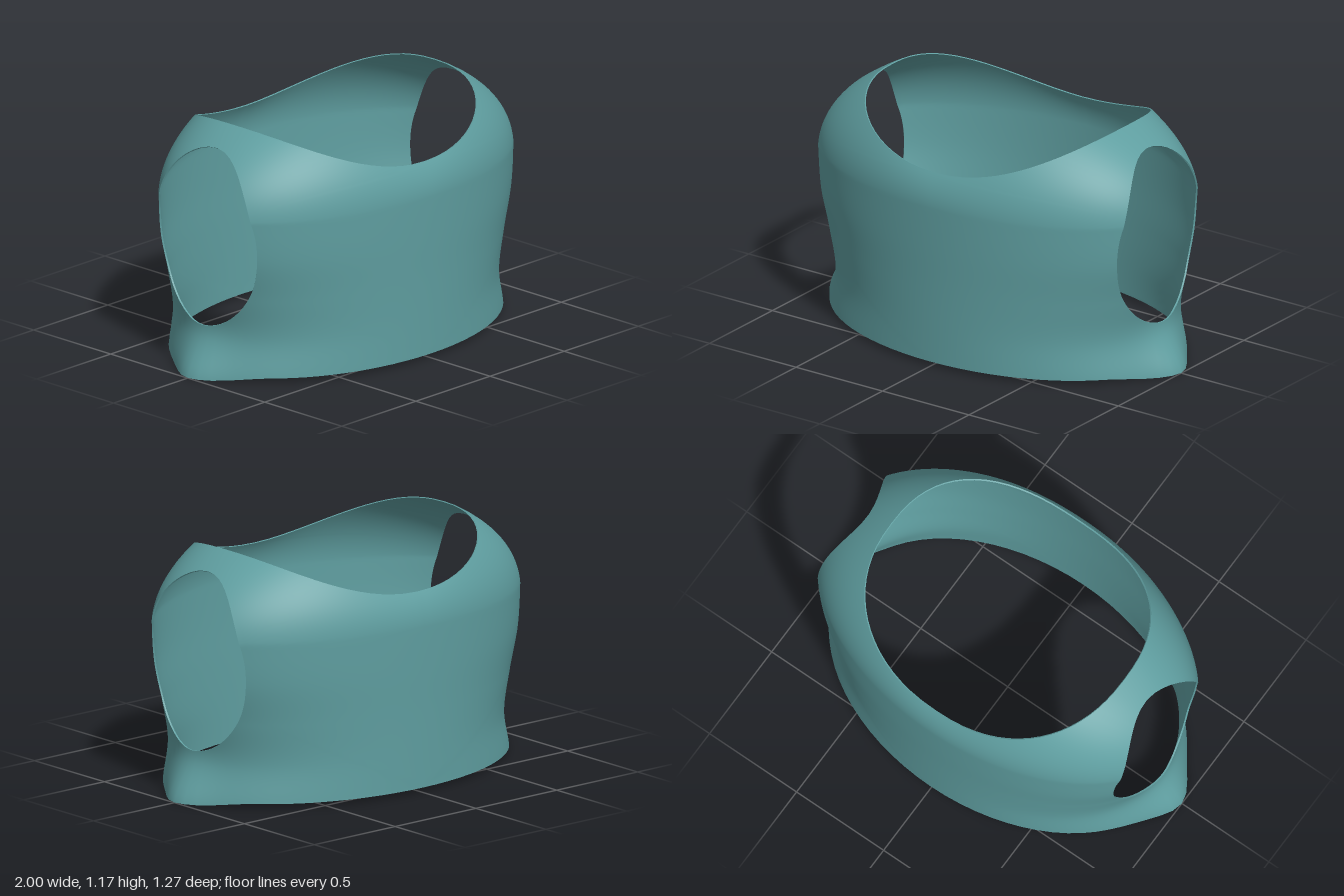
import * as THREE from 'three';
import { mergeVertices } from 'three/addons/utils/BufferGeometryUtils.js';

const THICKNESS = 0.008;
const RAYS = 144, RINGS = 30;
const SHOULDER_Y = 0.8, SHOULDER_V = 0.6;

// Half-width and half-depth of the body at even heights from hem to shoulder
const spline = (values) => new THREE.SplineCurve(values.map((v) => new THREE.Vector2(v, 0)));
const halfWidth = spline([0.93, 0.89, 0.93, 0.985, 1.0]);
const halfDepth = spline([0.62, 0.622, 0.625, 0.63, 0.633]);

// Oval torso wall, with a small flare at the side of the hem
function bodyPoint(theta, y) {
  const t = THREE.MathUtils.clamp(y / SHOULDER_Y, 0, 1);
  const z = halfDepth.getPoint(t).x * Math.cos(theta);
  const flare = 0.075 * (1 - THREE.MathUtils.smoothstep(y, -0.05, 0.29)) * Math.exp(-((z / 0.14) ** 2));
  const s = Math.sin(theta);
  return new THREE.Vector3(halfWidth.getPoint(t).x * s + flare * s, y, z);
}

// Rounded neckline that dips at the front and back
function neckPoint(theta) {
  const p = 2 / 2.35;
  const s = Math.max(0, Math.sin(theta)), c = Math.cos(theta);
  const x = 0.67 * s ** p;
  return new THREE.Vector3(x, 0.965 + 0.2 * (x / 0.67) ** 2, 0.583 * Math.sign(c) * Math.abs(c) ** p);
}

// Surface of the left half: u runs front to back, v runs hem to neckline
function surface(u, v) {
  const theta = Math.PI * u;
  if (v <= SHOULDER_V) {
    const z = Math.abs(0.62 * Math.cos(theta));
    const hem = 0.022 * THREE.MathUtils.smoothstep(z, 0.1, 0.34);
    return bodyPoint(theta, THREE.MathUtils.lerp(hem, SHOULDER_Y, v / SHOULDER_V));
  }
  const start = bodyPoint(theta, SHOULDER_Y), end = neckPoint(theta);
  const control = start.clone();
  control.x *= 0.975;
  control.y += 0.55 * (end.y - SHOULDER_Y);
  return new THREE.QuadraticBezierCurve3(start, control, end).getPoint((v - SHOULDER_V) / (1 - SHOULDER_V));
}

const insideArmhole = (p) => ((p.z + 0.008) / 0.323) ** 2 + ((p.y - 0.661) / 0.425) ** 2 < 1;

// Point on the border of the unit square, counter-clockwise
function border(k) {
  const t = (4 * (k % RAYS)) / RAYS, f = t % 1;
  return [[f, 0], [1, f], [1 - f, 1], [0, 1 - f]][Math.floor(t)];
}

// Both halves, meshed in rays from the armhole edge out to the seams
function outerGeometry() {
  const positions = [], index = [], center = [0.5, 0.5];
  for (const side of [1, -1]) {
    const base = positions.length / 3;
    for (let k = 0; k < RAYS; k++) {
      const edge = border(k);
      const along = (r) => surface(
        center[0] + (edge[0] - center[0]) * r,
        center[1] + (edge[1] - center[1]) * r
      );
      let lo = 0, hi = 1;
      for (let i = 0; i < 24; i++) {
        const mid = (lo + hi) / 2;
        if (insideArmhole(along(mid))) lo = mid;
        else hi = mid;
      }
      for (let j = 0; j <= RINGS; j++) {
        const p = along(hi + (1 - hi) * (j / RINGS));
        positions.push(side * p.x, p.y, p.z);
      }
    }
    const at = (k, j) => base + (k % RAYS) * (RINGS + 1) + j;
    for (let k = 0; k < RAYS; k++) {
      for (let j = 0; j < RINGS; j++) {
        const a = at(k, j), b = at(k, j + 1), c = at(k + 1, j + 1), d = at(k + 1, j);
        if (side > 0) index.push(a, b, c, a, c, d);
        else index.push(a, c, b, a, d, c);
      }
    }
  }
  const geometry = new THREE.BufferGeometry();
  geometry.setAttribute('position', new THREE.Float32BufferAttribute(positions, 3));
  geometry.setIndex(index);
  const merged = mergeVertices(geometry, 1e-5);
  merged.computeVertexNormals();
  return merged;
}

// Lining: the outer surface moved inwards and turned round
function liningGeometry(outer) {
  const geometry = outer.clone();
  const p = geometry.attributes.position, n = geometry.attributes.normal;
  for (let i = 0; i < p.count; i++) {
    p.setXYZ(i, p.getX(i) - n.getX(i) * THICKNESS, p.getY(i) - n.getY(i) * THICKNESS * 0.5,
      p.getZ(i) - n.getZ(i) * THICKNESS);
  }
  geometry.setIndex(Array.from(outer.index.array).reverse());
  geometry.computeVertexNormals();
  return geometry;
}

// Thin band closing every open edge between the outer surface and the lining
function edgeGeometry(outer, lining) {
  const tri = outer.index.array, edges = new Map();
  for (let i = 0; i < tri.length; i += 3) {
    for (let e = 0; e < 3; e++) {
      const a = tri[i + e], b = tri[i + ((e + 1) % 3)];
      if (!edges.delete(`${b},${a}`)) edges.set(`${a},${b}`, [a, b]);
    }
  }
  const positions = [], v = new THREE.Vector3();
  const push = (g, i) => positions.push(...v.fromBufferAttribute(g.attributes.position, i).toArray());
  for (const [a, b] of edges.values()) {
    for (const [g, i] of [[outer, b], [outer, a], [lining, a], [outer, b], [lining, a], [lining, b]]) push(g, i);
  }
  const geometry = new THREE.BufferGeometry();
  geometry.setAttribute('position', new THREE.Float32BufferAttribute(positions, 3));
  const merged = mergeVertices(geometry, 1e-5);
  merged.computeVertexNormals();
  return merged;
}

export function createModel() {
  const group = new THREE.Group();
  group.name = 'sleevelessTop';
  const fabric = new THREE.MeshStandardMaterial({ color: 0x5f9ea0 });
  const outer = outerGeometry();
  const lining = liningGeometry(outer);
  const add = (name, geometry) => {
    const mesh = new THREE.Mesh(geometry, fabric);
    mesh.name = name;
    group.add(mesh);
  };
  add('outerFabric', outer);
  add('lining', lining);
  add('hemNeckAndArmholeEdges', edgeGeometry(outer, lining));
  return group;
}
